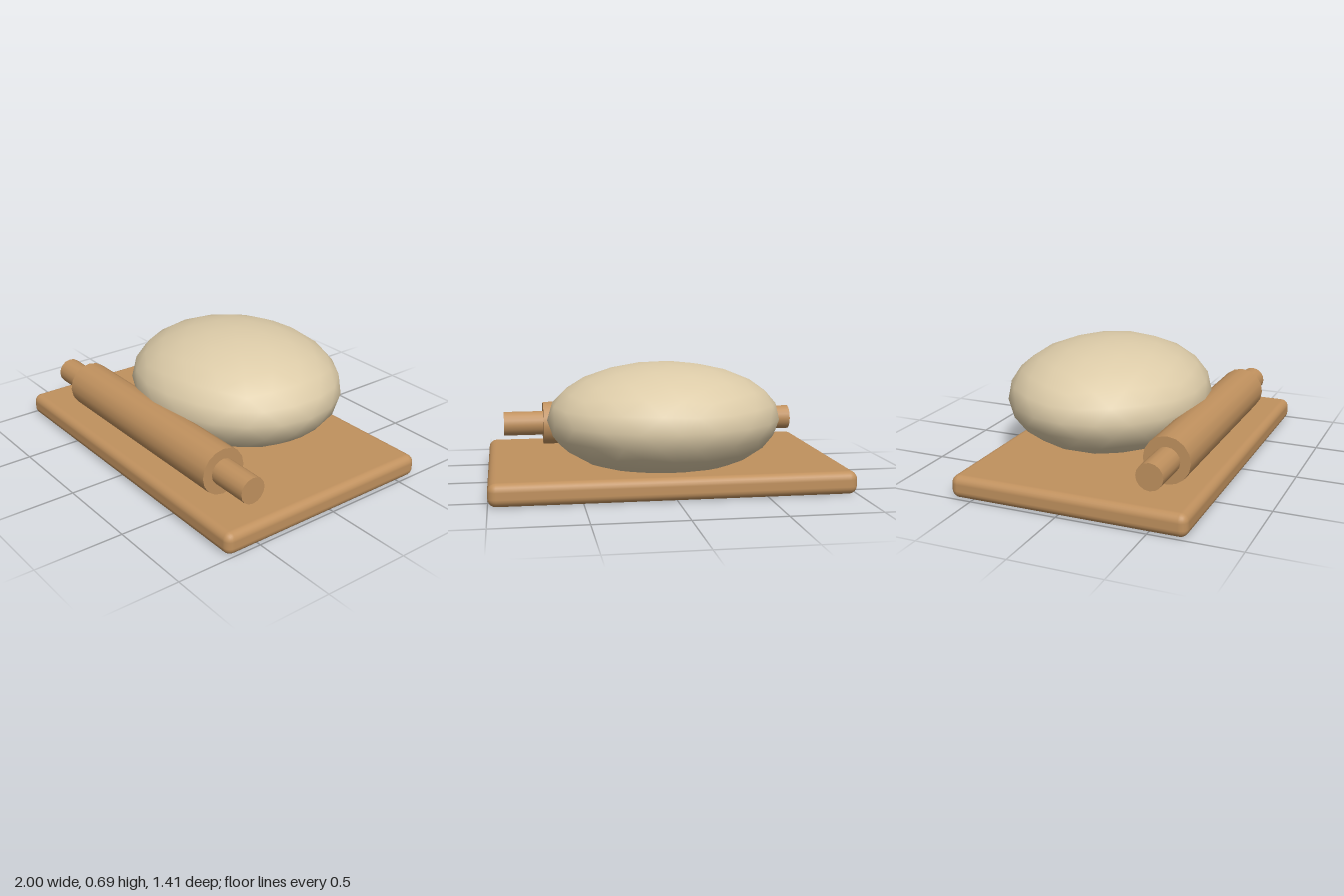
import * as THREE from 'three';
import { RoundedBoxGeometry } from 'three/addons/geometries/RoundedBoxGeometry.js';

export function createModel() {
  const model = new THREE.Group();
  model.name = 'doughBoard';

  const wood = new THREE.MeshStandardMaterial({ color: 0xc0915e });
  wood.name = 'wood';
  const cream = new THREE.MeshStandardMaterial({ color: 0xdccba8 });
  cream.name = 'dough';

  const add = (parent, name, geometry, material, x, y, z) => {
    const mesh = new THREE.Mesh(geometry, material);
    mesh.name = name;
    mesh.position.set(x, y, z);
    parent.add(mesh);
    return mesh;
  };

  // Board with softened edges
  add(model, 'board', new RoundedBoxGeometry(2, 0.127, 1.33, 3, 0.045), wood, 0, 0.0635, 0.04);

  // Dough: icosphere turned to stand on a vertex, then flattened; it sinks into the board
  const dough = new THREE.IcosahedronGeometry(1, 3);
  dough.rotateX(-Math.atan((1 + Math.sqrt(5)) / 2));
  dough.rotateY(-Math.PI / 2);
  dough.scale(0.665, 0.32, 0.583);
  add(model, 'dough', dough, cream, 0, 0.375, -0.127);

  // Rolling pin lying across the front
  const pin = new THREE.Group();
  pin.name = 'rollingPin';
  pin.position.set(0, 0.26, 0.475);
  model.add(pin);
  const rod = (radius, length) =>
    new THREE.CylinderGeometry(radius, radius, length, 16).rotateZ(Math.PI / 2);
  add(pin, 'roller', rod(0.132, 1.33), wood, 0, 0, 0);
  for (const side of [1, -1]) {
    add(pin, side > 0 ? 'leftHandle' : 'rightHandle', rod(0.0745, 0.26), wood, side * 0.776, 0, 0);
  }

  return model;
}
